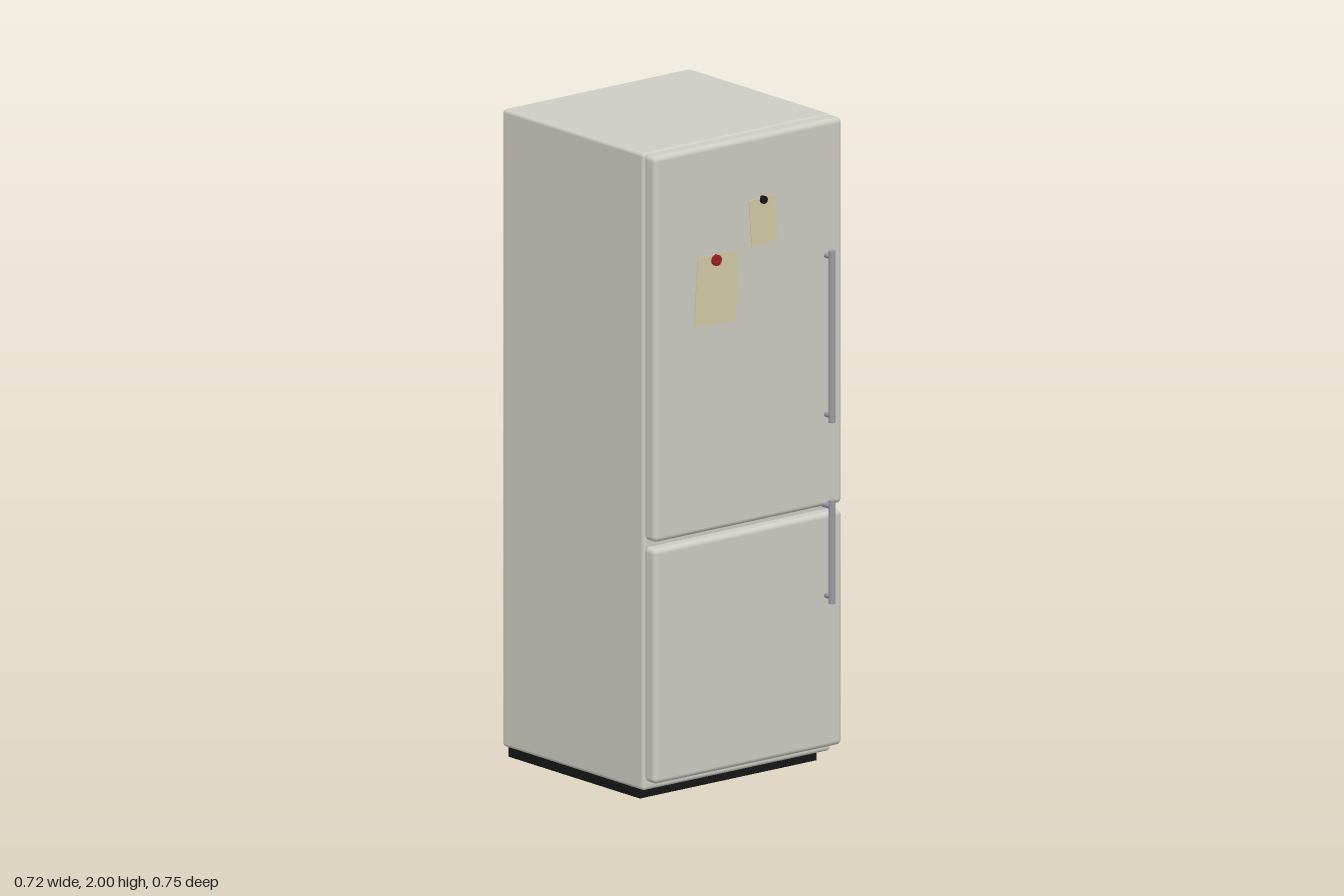
import * as THREE from 'three';
import { RoundedBoxGeometry } from 'three/addons/geometries/RoundedBoxGeometry.js';

const mat = (color) => new THREE.MeshStandardMaterial({ color });
const enamel = mat(0xcdcdc4), metal = mat(0x9a9aa2), black = mat(0x161616);
const red = mat(0xa02020), paper = mat(0xd3cba6);

function add(parent, name, geometry, material, x, y, z) {
  const mesh = new THREE.Mesh(geometry, material);
  mesh.name = name;
  mesh.position.set(x, y, z);
  parent.add(mesh);
  return mesh;
}

// Rounded panel given by its bottom, top, back and front
function panel(parent, name, y0, y1, z0, z1, radius) {
  const geometry = new RoundedBoxGeometry(0.724, y1 - y0, z1 - z0, 3, radius);
  return add(parent, name, geometry, enamel, 0, (y0 + y1) / 2, (z0 + z1) / 2);
}

// Vertical bar on two standoffs
function handle(parent, name, y0, y1) {
  const group = new THREE.Group();
  group.name = name;
  const x = 0.298, z = 0.365;
  add(group, 'handleBar', new THREE.CylinderGeometry(0.011, 0.011, y1 - y0, 20), metal, x, (y0 + y1) / 2, z);
  for (const y of [y0 + 0.02, y1 - 0.02]) {
    const post = new THREE.CylinderGeometry(0.008, 0.008, 0.055, 16).rotateX(Math.PI / 2);
    add(group, 'handlePost', post, metal, x, y, z - 0.0275);
  }
  parent.add(group);
}

// Paper note pinned by a round magnet
function note(parent, name, x, y, w, h, angle, magnet) {
  const group = new THREE.Group();
  group.name = name;
  add(group, 'paperSheet', new THREE.BoxGeometry(w, h, 0.002), paper, x, y, 0.339).rotation.z = angle;
  const disc = new THREE.CylinderGeometry(magnet.r, magnet.r, 0.012, 24).rotateX(Math.PI / 2);
  add(group, 'magnet', disc, magnet.material, magnet.x, magnet.y, 0.343);
  parent.add(group);
}

export function createModel() {
  const fridge = new THREE.Group();
  fridge.name = 'fridge';

  // Cabinet and recessed plinth
  panel(fridge, 'cabinet', 0.035, 2, -0.377, 0.283, 0.011);
  add(fridge, 'plinth', new THREE.BoxGeometry(0.68, 0.045, 0.615), black, 0, 0.0225, -0.067);

  // Doors
  panel(fridge, 'fridgeDoor', 0.81, 2, 0.284, 0.337, 0.016);
  panel(fridge, 'freezerDoor', 0.065, 0.79, 0.284, 0.337, 0.016);

  // Handles
  handle(fridge, 'fridgeHandle', 1.075, 1.605);
  handle(fridge, 'freezerHandle', 0.517, 0.835);

  // Notes and magnets
  note(fridge, 'largeNote', -0.126, 1.555, 0.158, 0.212, -0.06, { x: -0.13, y: 1.645, r: 0.017, material: red });
  note(fridge, 'smallNote', 0.054, 1.735, 0.1, 0.145, 0.08, { x: 0.052, y: 1.8, r: 0.012, material: black });

  return fridge;
}
